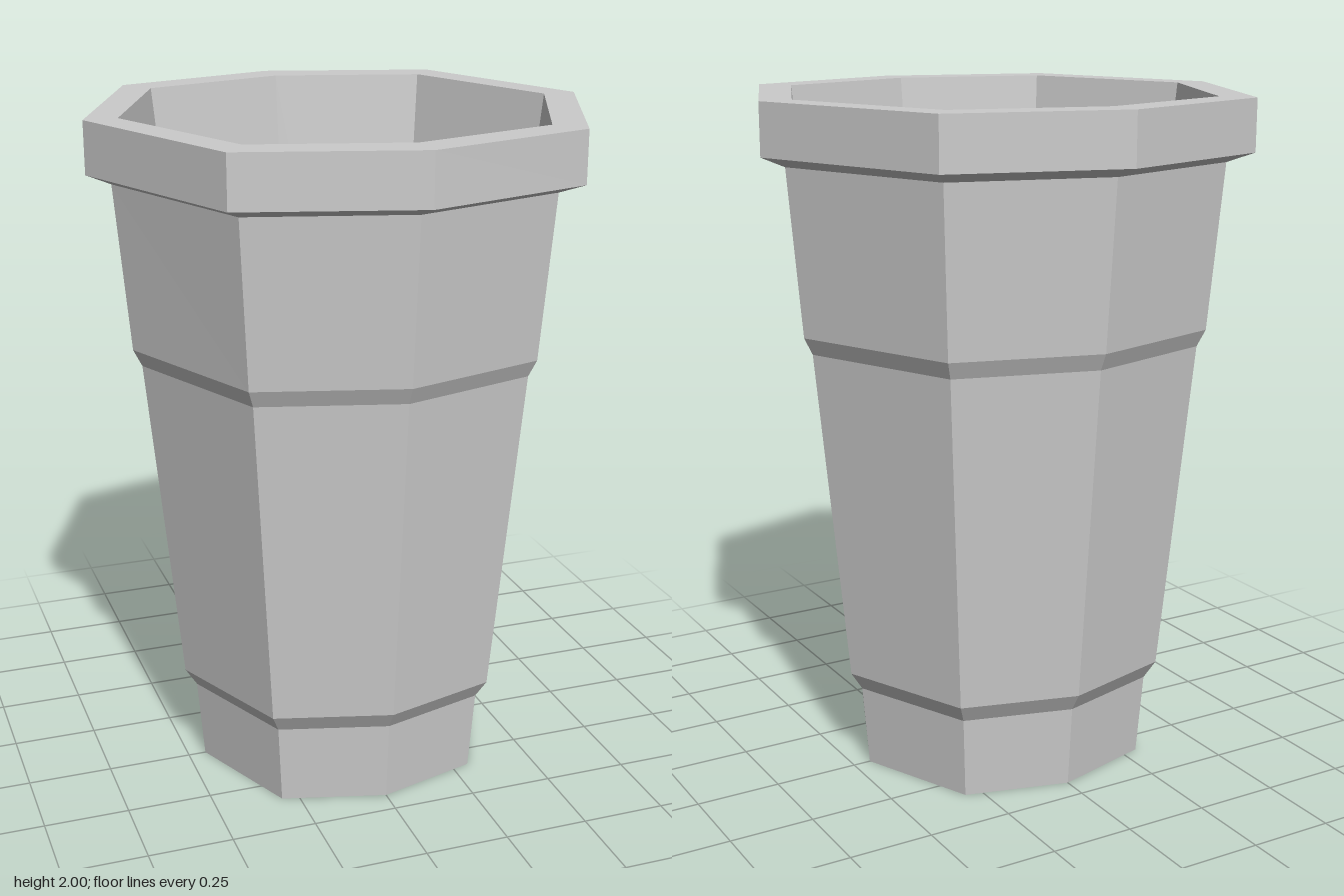
import * as THREE from 'three';

// Corner directions of the flattened octagon, as fractions of [rx, rz], starting at +z
const CORNERS = [
  [0, 1], [0.674, 0.8], [1, 0], [0.674, -0.8],
  [0, -1], [-0.674, -0.8], [-1, 0], [-0.674, 0.8],
];

// Eight-sided faceted surface from a profile of [rx, rz, y] rows
function octagonal(name, profile, material) {
  const points = profile.map(([rx, , y]) => new THREE.Vector2(rx, y));
  const geometry = new THREE.LatheGeometry(points, 8);
  const pos = geometry.attributes.position;
  for (let i = 0; i < pos.count; i++) {
    const [rx, rz, y] = profile[i % profile.length];
    const [cx, cz] = CORNERS[Math.floor(i / profile.length) % 8];
    pos.setXYZ(i, rx * cx, y, rz * cz);
  }
  geometry.computeVertexNormals();
  const mesh = new THREE.Mesh(geometry, material);
  mesh.name = name;
  return mesh;
}

export function createModel() {
  const group = new THREE.Group();
  group.name = 'cup';
  const material = new THREE.MeshStandardMaterial({ color: 0xcccccc, flatShading: true });

  // Base and tapered wall with two stepped ledges
  group.add(octagonal('outerWall', [
    [0, 0, 0],
    [0.447, 0.423, 0],
    [0.467, 0.442, 0.245],
    [0.502, 0.476, 0.3],
    [0.598, 0.565, 1.29],
    [0.623, 0.589, 1.34],
    [0.664, 0.63, 1.82],
  ], material));

  // Overhanging lip: sloped underside, upright side, flat top
  group.add(octagonal('rim', [
    [0.664, 0.63, 1.82],
    [0.735, 0.714, 1.85],
    [0.735, 0.714, 2],
    [0.638, 0.605, 2],
  ], material));

  // Smooth tapered inside and floor
  group.add(octagonal('interior', [
    [0.638, 0.605, 2],
    [0.413, 0.391, 0.06],
    [0, 0, 0.06],
  ], material));

  return group;
}
